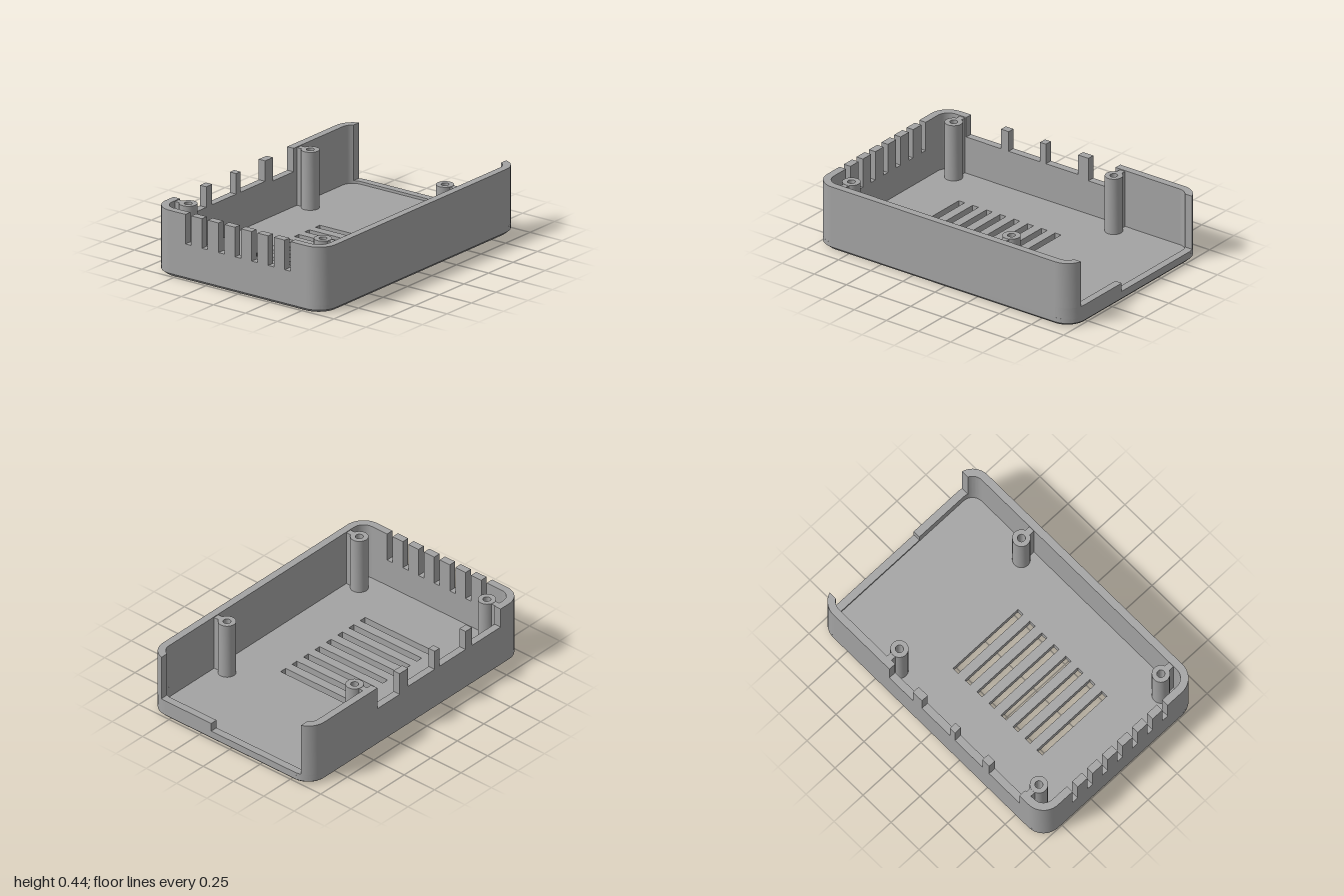
import * as THREE from 'three';
import { toCreasedNormals } from 'three/addons/utils/BufferGeometryUtils.js';

const HX = 1, HZ = 0.665;        // outer half sizes
const R = 0.13, T = 0.05;        // outer corner radius, wall thickness
const FLOOR = 0.05, TOP = 0.435; // floor top and rim height
const CX = HX - R, CZ = HZ - R;  // corner centres

export function createModel() {
  const model = new THREE.Group();
  model.name = 'enclosureBase';
  const grey = new THREE.MeshStandardMaterial({ color: 0xa3a3a3 });
  grey.name = 'grey plastic';

  function add(name, geometry, x = 0, y = 0, z = 0) {
    const mesh = new THREE.Mesh(toCreasedNormals(geometry, 0.5), grey);
    mesh.name = name;
    mesh.position.set(x, y, z);
    model.add(mesh);
  }

  // Extrudes a plan shape (shape y = -z) upwards
  function extrudeUp(shape, depth, steps = 1) {
    return new THREE.ExtrudeGeometry(shape, { depth, steps, bevelEnabled: false, curveSegments: 12 })
      .rotateX(-Math.PI / 2);
  }

  // Floor with vent slots and a chamfered lower edge
  const plan = new THREE.Shape();
  plan.absarc(CX, CZ, R, 0, Math.PI / 2);
  plan.absarc(-CX, CZ, R, Math.PI / 2, Math.PI);
  plan.absarc(-CX, -CZ, R, Math.PI, Math.PI * 1.5);
  plan.absarc(CX, -CZ, R, Math.PI * 1.5, Math.PI * 2);
  for (let i = 0; i < 8; i++) {
    const x0 = -0.594 + i * 0.107, x1 = x0 + 0.046;
    plan.holes.push(new THREE.Path([
      new THREE.Vector2(x0, -0.28), new THREE.Vector2(x0, 0.28),
      new THREE.Vector2(x1, 0.28), new THREE.Vector2(x1, -0.28),
    ]));
  }
  const floor = extrudeUp(plan, FLOOR, 2);
  const p = floor.attributes.position;
  for (let i = 0; i < p.count; i++) {
    const y = p.getY(i);
    const outer = Math.abs(p.getX(i)) > 0.8 || Math.abs(p.getZ(i)) > 0.5;
    if (y < 0.01 && outer) {
      p.setX(i, p.getX(i) * (HX - 0.02) / HX);
      p.setZ(i, p.getZ(i) * (HZ - 0.02) / HZ);
    } else if (y > 0.01 && y < 0.04) p.setY(i, 0.02);
  }
  add('floor', floor);

  // Straight wall whose upper edge follows [end position, height] steps
  function wallGeometry(half, steps) {
    const pts = [new THREE.Vector2(half, FLOOR), new THREE.Vector2(-half, FLOOR)];
    let u = -half;
    for (const [end, h] of steps) {
      pts.push(new THREE.Vector2(u, h), new THREE.Vector2(end, h));
      u = end;
    }
    return new THREE.ExtrudeGeometry(new THREE.Shape(pts), { depth: T, bevelEnabled: false });
  }

  add('frontWall', wallGeometry(CX, [[CX, TOP]]), 0, 0, HZ - T);

  // Back wall with four port notches
  add('backWall', wallGeometry(CX, [
    [-0.79, TOP], [-0.52, 0.3], [-0.46, TOP], [-0.215, 0.3], [-0.17, TOP],
    [0.08, 0.3], [0.16, TOP], [0.37, 0.28], [CX, TOP],
  ]), 0, 0, -HZ);

  // Slotted vent wall
  const slots = [];
  for (let i = -3; i <= 3; i++) {
    slots.push([i * 0.1293 - 0.0225, TOP], [i * 0.1293 + 0.0225, 0.24]);
  }
  slots.push([CZ, TOP]);
  add('ventWall', wallGeometry(CZ, slots).rotateY(Math.PI / 2), -HX);

  // Open end with a stepped sill
  add('openEndSill', wallGeometry(CZ, [[-0.153, 0.125], [CZ, 0.068]]).rotateY(Math.PI / 2), HX - T);

  // Rounded corner; cut trims it to lie beyond CZ + cut
  function corner(name, sx, sz, y0, y1, cut = 0) {
    const arc = (r) => {
      const a0 = Math.asin(cut / r), pts = [];
      for (let i = 0; i <= 12; i++) {
        const a = a0 + (Math.PI / 2 - a0) * i / 12;
        pts.push(new THREE.Vector2(sx * (CX + r * Math.cos(a)), -sz * (CZ + r * Math.sin(a))));
      }
      return pts;
    };
    const shape = new THREE.Shape([...arc(R), ...arc(R - T).reverse()]);
    add(name, extrudeUp(shape, y1 - y0), 0, y0);
  }
  corner('frontRightCorner', -1, 1, FLOOR, TOP);
  corner('backRightCorner', -1, -1, FLOOR, TOP);
  corner('frontLeftCornerSill', 1, 1, FLOOR, 0.125);
  corner('frontLeftCorner', 1, 1, 0.125, TOP, 0.031);
  corner('backLeftCornerSill', 1, -1, FLOOR, 0.068);
  corner('backLeftCorner', 1, -1, 0.068, TOP, 0.045);

  // Screw posts, each tied to its wall by a rib
  const postTop = 0.432, postZ = 0.526;
  const profile = [[0.057, FLOOR], [0.057, postTop], [0.025, postTop], [0.025, 0.2], [0, 0.2]]
    .map(([r, y]) => new THREE.Vector2(r, y));
  for (const x of [-0.82, 0.425]) {
    for (const s of [-1, 1]) {
      add('screwPost', new THREE.LatheGeometry(profile, 32), x, 0, s * postZ);
      const z0 = postZ + 0.05, z1 = HZ - T;
      const h = postTop - 0.002 - FLOOR;
      add('postRib', new THREE.BoxGeometry(0.04, h, z1 - z0), x, FLOOR + h / 2, s * (z0 + z1) / 2);
    }
  }
  return model;
}
